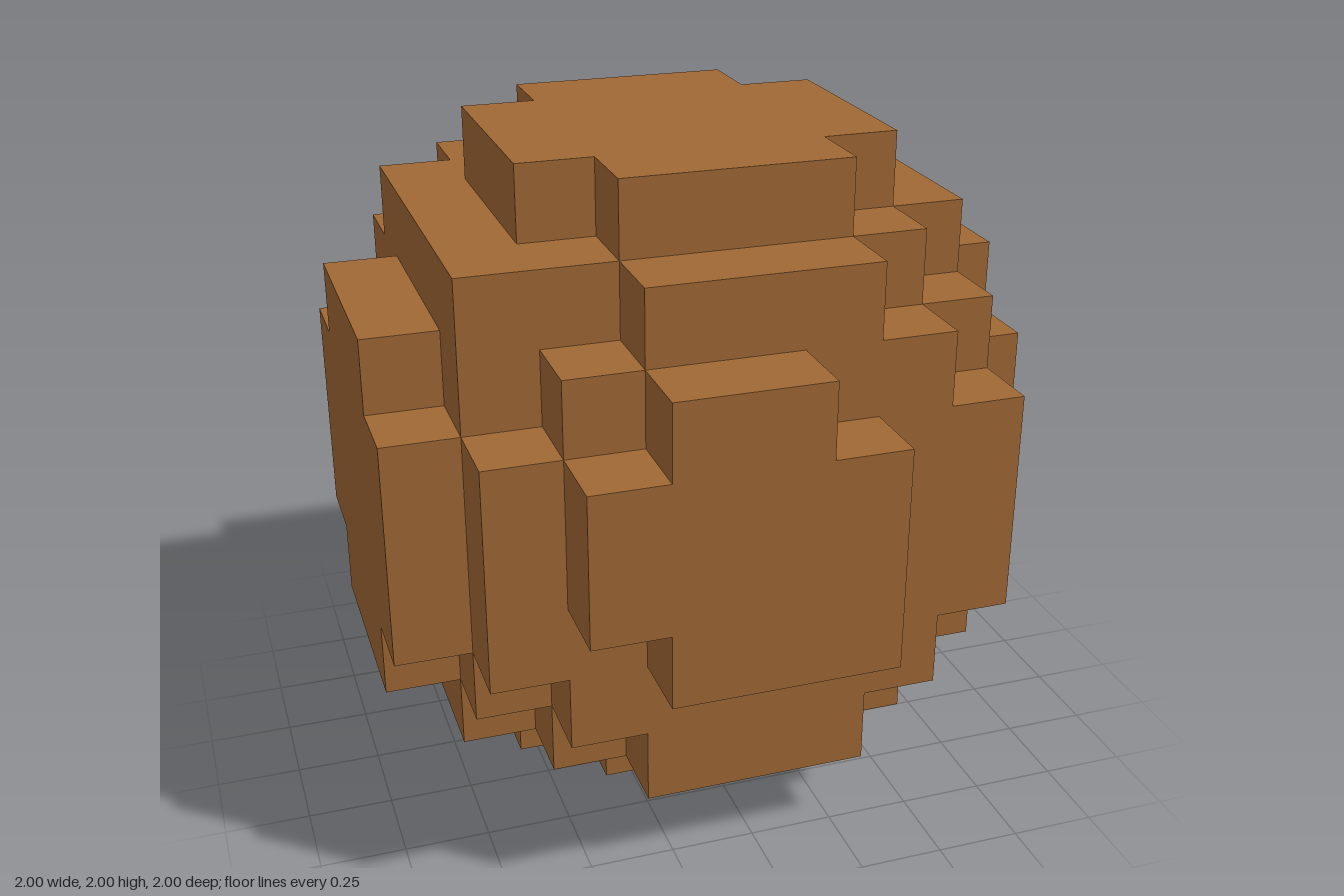
import * as THREE from 'three';
import { mergeGeometries } from 'three/addons/utils/BufferGeometryUtils.js';

const COUNT = 9;            // blocks along each axis
const SIZE = 2 / COUNT;     // edge of one block
const MID = (COUNT - 1) / 2;

// A block is solid when its middle lies inside a ball set slightly off centre
const BALL_CENTRE = new THREE.Vector3(-0.13, 0.13, -0.11);
const BALL_RADIUS_SQ = 21.246;
const isSolid = (p) => p.distanceToSquared(BALL_CENTRE) < BALL_RADIUS_SQ;

// The six block sides: outward direction and the turn that points a plane there
const SIDES = [
  { dir: new THREE.Vector3(0, 0, 1), rx: 0, ry: 0 },
  { dir: new THREE.Vector3(0, 0, -1), rx: 0, ry: Math.PI },
  { dir: new THREE.Vector3(1, 0, 0), rx: 0, ry: Math.PI / 2 },
  { dir: new THREE.Vector3(-1, 0, 0), rx: 0, ry: -Math.PI / 2 },
  { dir: new THREE.Vector3(0, 1, 0), rx: -Math.PI / 2, ry: 0 },
  { dir: new THREE.Vector3(0, -1, 0), rx: Math.PI / 2, ry: 0 },
];

// Outer skin only: one square wherever a solid block meets empty space
function blockSkin() {
  const squares = [];
  for (let x = -MID; x <= MID; x++)
    for (let y = -MID; y <= MID; y++)
      for (let z = -MID; z <= MID; z++) {
        const block = new THREE.Vector3(x, y, z);
        if (!isSolid(block)) continue;
        for (const { dir, rx, ry } of SIDES) {
          if (isSolid(block.clone().add(dir))) continue;
          const at = block.clone().addScaledVector(dir, 0.5).multiplyScalar(SIZE);
          squares.push(
            new THREE.PlaneGeometry(SIZE, SIZE).rotateX(rx).rotateY(ry).translate(at.x, at.y + 1, at.z)
          );
        }
      }
  return mergeGeometries(squares);
}

export function createModel() {
  const group = new THREE.Group();
  group.name = 'blockBall';

  const brown = new THREE.MeshStandardMaterial({ color: 0xa06834 });
  brown.name = 'brown';

  const ball = new THREE.Mesh(blockSkin(), brown);
  ball.name = 'ball';
  group.add(ball);
  return group;
}
